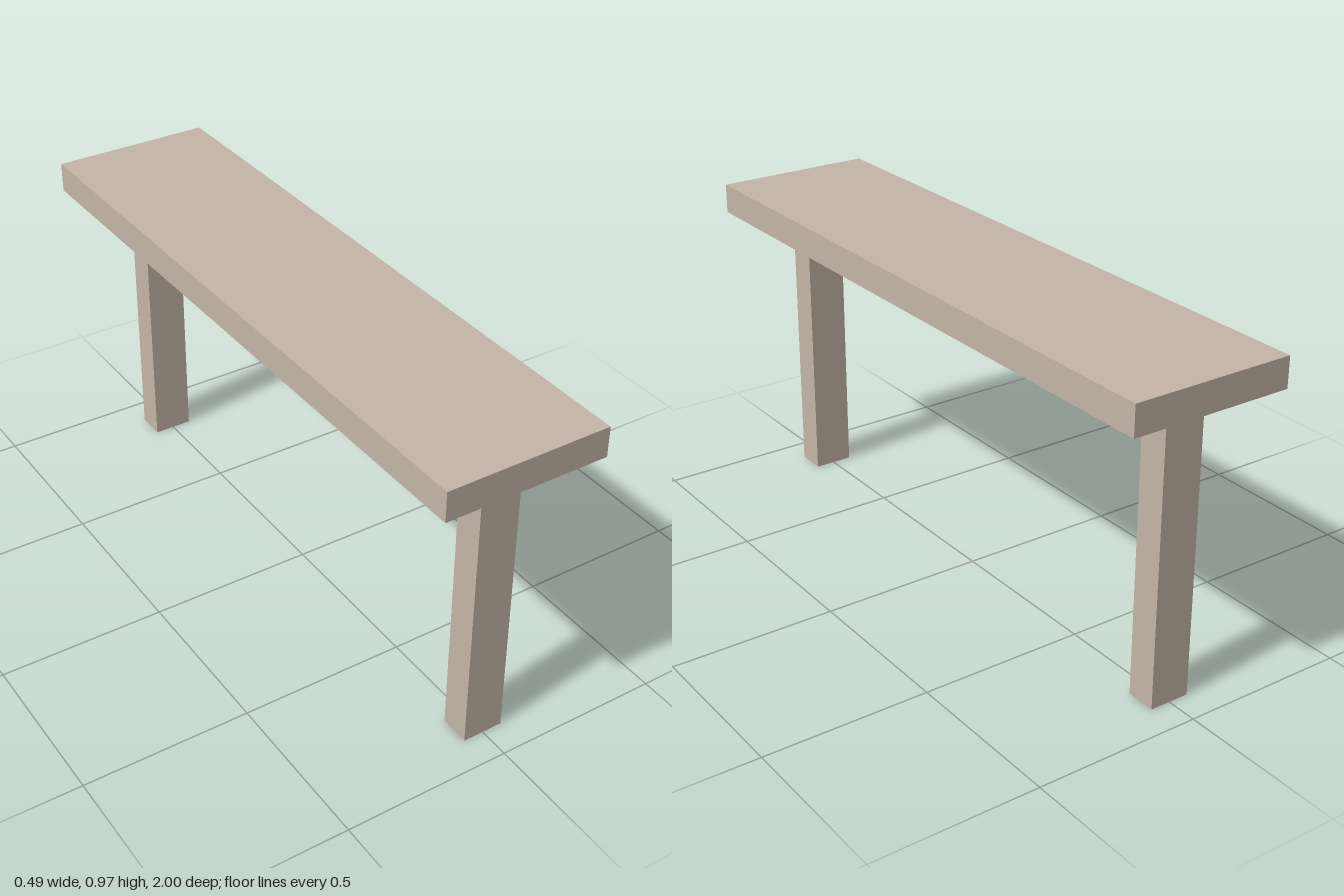
import * as THREE from 'three';

export function createModel() {
  const bench = new THREE.Group();
  bench.name = 'bench';

  const stone = new THREE.MeshStandardMaterial({ color: 0xc4b5a8 });
  stone.name = 'pale stone';

  const addBlock = (name, width, height, depth, y, z) => {
    const mesh = new THREE.Mesh(new THREE.BoxGeometry(width, height, depth), stone);
    mesh.name = name;
    mesh.position.set(0, y, z);
    bench.add(mesh);
  };

  // Long seat slab
  const legHeight = 0.88;
  const seatThickness = 0.09;
  addBlock('seat', 0.49, seatThickness, 2, legHeight + seatThickness / 2, 0);

  // One central post near each end
  for (const [name, side] of [['frontLeg', 1], ['backLeg', -1]]) {
    addBlock(name, 0.122, legHeight, 0.09, legHeight / 2, side * 0.86);
  }

  return bench;
}
